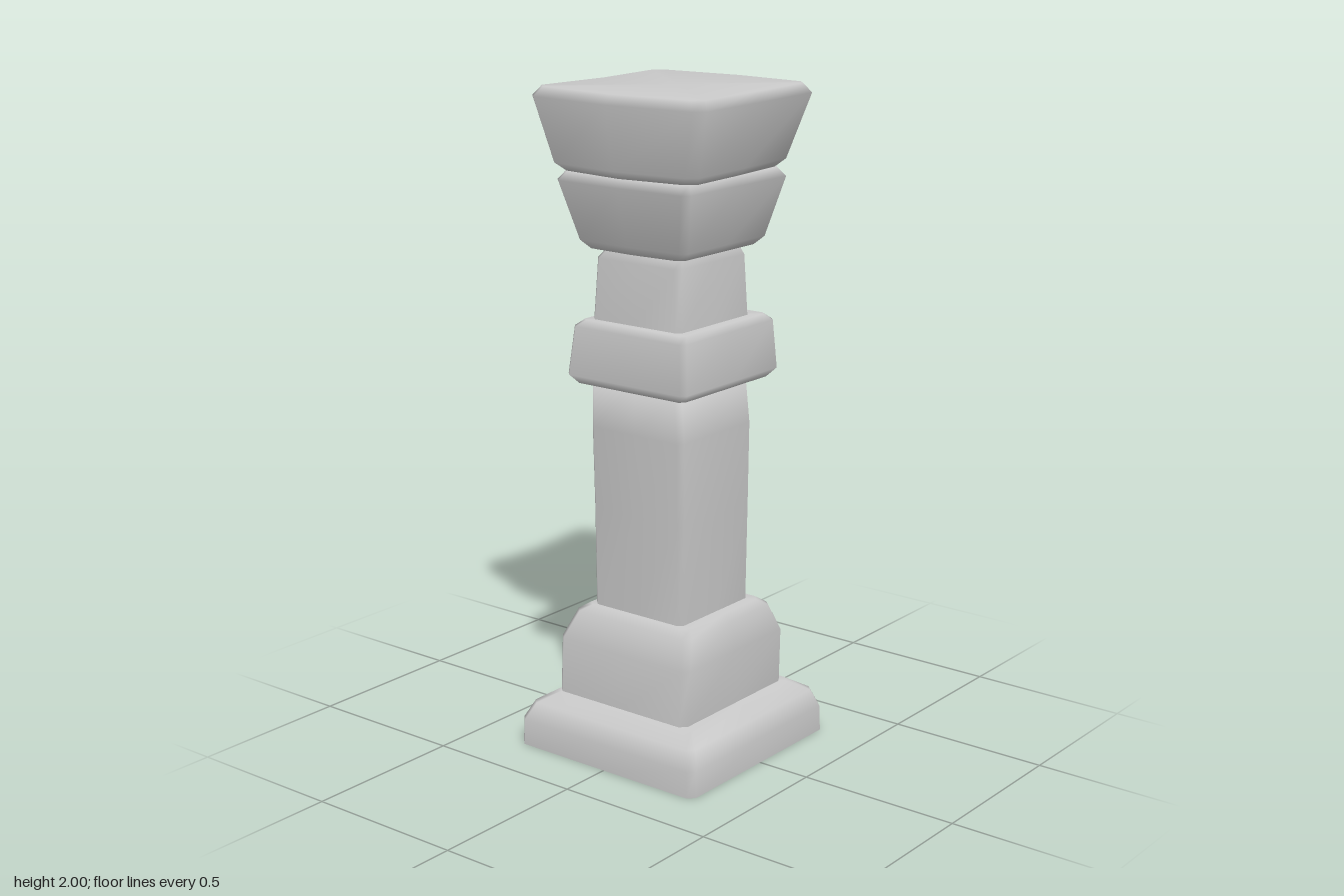
import * as THREE from 'three';

const material = new THREE.MeshStandardMaterial({ color: 0xcccccc });

// Worn stone block lofted through chamfered square rings [y, left, right, back, front].
// bulge pushes the middle of the [left, right, back, front] sides outward,
// skew pulls the back right corner inward.
function stoneBlock(name, rings, { chamfer = 0.02, bulge = [0, 0, 0, 0], skew = 0 } = {}) {
  const pos = [], index = [], n = 12;
  const [bl, br, bb, bf] = bulge;
  const addRing = ([y, x0, x1, z0, z1]) => {
    const c = chamfer, xm = (x0 + x1) / 2, zm = (z0 + z1) / 2, xb = x1 - skew;
    const outline = [
      [x0 + c, z1], [xm, z1 + bf], [x1 - c, z1],
      [x1, z1 - c], [x1 - skew / 2 + br, zm], [xb, z0 + c],
      [xb - c, z0], [xm, z0 - bb], [x0 + c, z0],
      [x0, z0 + c], [x0 - bl, zm], [x0, z1 - c],
    ];
    for (const [x, z] of outline) pos.push(x, y, z);
    return [xm, y, zm];
  };
  const addCap = (first, centre, up) => {
    const mid = pos.length / 3;
    pos.push(...centre);
    for (let i = 0; i < n; i++) {
      const a = first + i, b = first + (i + 1) % n;
      index.push(mid, up ? a : b, up ? b : a);
    }
  };

  let centre;
  for (const ring of rings) centre = addRing(ring);
  for (let r = 0; r < rings.length - 1; r++) {
    for (let i = 0; i < n; i++) {
      const a = r * n + i, b = r * n + (i + 1) % n;
      index.push(a, b, b + n, a, b + n, a + n);
    }
  }
  addCap((rings.length - 1) * n, centre, true);
  // The underside has its own ring so its edge stays sharp
  const under = pos.length / 3;
  addCap(under, addRing(rings[0]), false);

  const geometry = new THREE.BufferGeometry();
  geometry.setAttribute('position', new THREE.Float32BufferAttribute(pos, 3));
  geometry.setIndex(index);
  geometry.computeVertexNormals();
  const mesh = new THREE.Mesh(geometry, material);
  mesh.name = name;
  return mesh;
}

export function createModel() {
  const group = new THREE.Group();
  group.name = 'stonePillar';
  group.add(
    stoneBlock('base', [
      [0, -0.335, 0.332, -0.335, 0.335],
      [0.08, -0.333, 0.33, -0.332, 0.333],
      [0.135, -0.305, 0.31, -0.31, 0.31],
      [0.17, -0.25, 0.255, -0.255, 0.255],
    ]),
    stoneBlock('plinth', [
      [0.17, -0.248, 0.24, -0.24, 0.255],
      [0.34, -0.247, 0.244, -0.24, 0.248],
      [0.425, -0.212, 0.222, -0.203, 0.213],
      [0.446, -0.18, 0.198, -0.173, 0.19],
    ]),
    stoneBlock('shaft', [
      [0.44, -0.165, 0.168, -0.155, 0.177],
      [0.75, -0.168, 0.17, -0.16, 0.178],
      [1.0, -0.172, 0.17, -0.165, 0.181],
      [1.14, -0.174, 0.158, -0.16, 0.177],
    ], { chamfer: 0.015 }),
    stoneBlock('band', [
      [1.135, -0.2, 0.198, -0.208, 0.21],
      [1.16, -0.223, 0.218, -0.234, 0.228],
      [1.305, -0.205, 0.208, -0.225, 0.218],
      [1.325, -0.18, 0.192, -0.2, 0.2],
    ], { chamfer: 0.015 }),
    stoneBlock('neck', [
      [1.32, -0.165, 0.163, -0.16, 0.178],
      [1.505, -0.157, 0.151, -0.158, 0.167],
      [1.53, -0.14, 0.138, -0.15, 0.15],
      [1.54, -0.14, 0.138, -0.15, 0.15],
    ], { chamfer: 0.015 }),
    stoneBlock('lowerCapital', [
      [1.535, -0.175, 0.175, -0.175, 0.185],
      [1.56, -0.2, 0.2, -0.195, 0.205],
      [1.735, -0.234, 0.25, -0.228, 0.258],
      [1.762, -0.215, 0.23, -0.21, 0.24],
    ], { bulge: [-0.005, 0, 0.004, 0.008] }),
    stoneBlock('upperCapital', [
      [1.762, -0.228, 0.25, -0.222, 0.237],
      [1.785, -0.253, 0.273, -0.245, 0.26],
      [1.972, -0.302, 0.322, -0.3, 0.292],
      [2, -0.283, 0.303, -0.282, 0.272],
    ], { chamfer: 0.028, bulge: [-0.02, 0.004, 0.02, 0.026], skew: 0.03 }),
  );
  return group;
}
